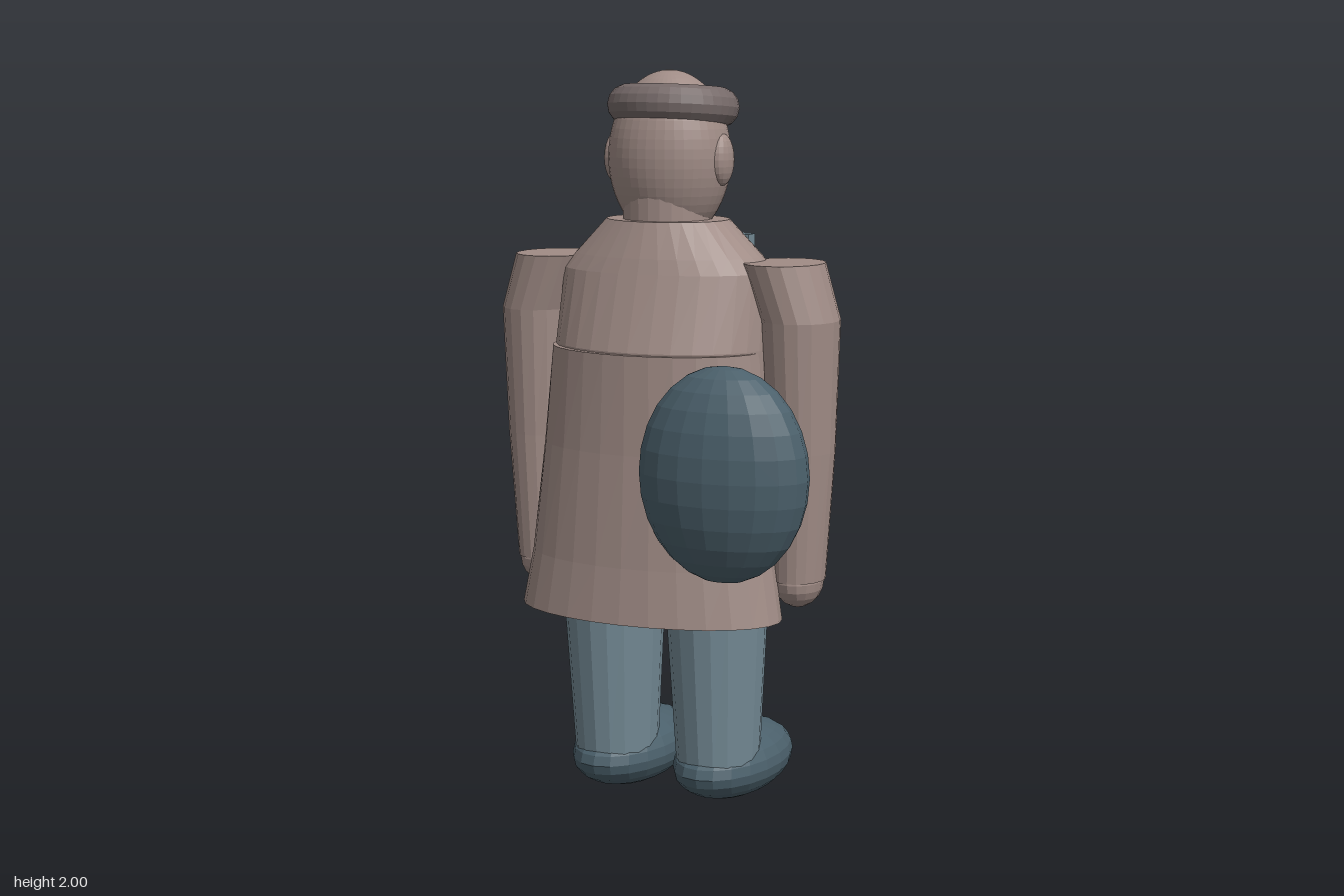
import * as THREE from 'three';

const material = (name, color) =>
  Object.assign(new THREE.MeshStandardMaterial({ color, flatShading: true }), { name });

// Closed solid through elliptical rings [y, centreX, centreZ, radiusX, radiusZ], lowest first
function loft(rings, sides) {
  const pos = [], idx = [];
  for (const [y, cx, cz, rx, rz] of rings) {
    for (let i = 0; i < sides; i++) {
      const a = (i / sides) * Math.PI * 2;
      pos.push(cx + rx * Math.sin(a), y, cz + rz * Math.cos(a));
    }
  }
  const last = rings.length - 1;
  for (let r = 0; r < last; r++) {
    for (let i = 0; i < sides; i++) {
      const j = (i + 1) % sides;
      const a = r * sides + i, b = r * sides + j, c = a + sides, d = b + sides;
      idx.push(a, b, d, a, d, c);
    }
  }
  for (let i = 1; i < sides - 1; i++) {
    idx.push(0, i + 1, i);
    idx.push(last * sides, last * sides + i, last * sides + i + 1);
  }
  const g = new THREE.BufferGeometry();
  g.setAttribute('position', new THREE.Float32BufferAttribute(pos, 3));
  g.setIndex(idx);
  g.computeVertexNormals();
  return g;
}

export function createModel() {
  const coat = material('coat and skin', 0xa08c86);
  const hatMat = material('cap', 0x766a69);
  const trousers = material('trousers', 0x748a95);
  const dark = material('boots and bag', 0x4b606b);
  const pale = material('pale plate', 0xa3b1bb);
  const slate = material('slate plate', 0x748a95);

  const model = new THREE.Group();
  model.name = 'figure';
  const body = new THREE.Group();
  body.name = 'body';
  body.position.x = -0.015;
  model.add(body);

  const add = (name, geometry, mat, parent = body) => {
    const mesh = new THREE.Mesh(geometry, mat);
    mesh.name = name;
    parent.add(mesh);
    return mesh;
  };
  const ellipsoid = (name, mat, [x, y, z], [rx, ry, rz], w = 20, h = 12, parent = body) => {
    const g = new THREE.SphereGeometry(1, w, h).scale(rx, ry, rz);
    const mesh = add(name, g, mat, parent);
    mesh.position.set(x, y, z);
    return mesh;
  };
  const box = (name, mat, x0, x1, y0, y1, z0, z1) => {
    const mesh = add(name, new THREE.BoxGeometry(x1 - x0, y1 - y0, z1 - z0), mat, model);
    mesh.position.set((x0 + x1) / 2, (y0 + y1) / 2, (z0 + z1) / 2);
  };

  // Coat: torso with sloping shoulders, and a flared skirt set towards +z
  add('torso', loft([
    [0.56, 0, 0.06, 0.28, 0.16],
    [0.7, 0, 0.03, 0.30, 0.18],
    [0.85, 0, 0.01, 0.30, 0.2],
    [1.27, 0, 0.008, 0.305, 0.226],
    [1.47, 0, -0.025, 0.30, 0.195],
    [1.51, 0, -0.025, 0.265, 0.183],
    [1.605, 0, -0.02, 0.17, 0.145],
  ], 32), coat);
  add('coatSkirt', loft([
    [0.55, 0, 0.09, 0.377, 0.2],
    [0.7, 0, 0.08, 0.35, 0.195],
    [1.0, 0, 0.062, 0.32, 0.195],
    [1.265, 0, 0.05, 0.298, 0.2],
  ], 28), coat);

  // Head, neck and features; the face looks along -z
  add('neck', loft([[1.55, 0, -0.018, 0.12, 0.122], [1.72, 0, -0.018, 0.12, 0.122]], 24), coat);
  ellipsoid('head', coat, [0, 1.77, -0.03], [0.168, 0.23, 0.15], 40, 28);
  ellipsoid('nose', coat, [0, 1.78, -0.197], [0.04, 0.066, 0.037], 16, 12);
  const hat = add('capBrim', new THREE.TorusGeometry(0.128, 0.052, 14, 36)
    .rotateX(Math.PI / 2).scale(1, 1.03, 0.94), hatMat);
  hat.position.set(0, 1.903, -0.053);
  hat.rotation.x = -0.09;

  // Mirrored parts
  for (const s of [1, -1]) {
    const side = s > 0 ? 'left' : 'right';
    ellipsoid(side + 'Eye', dark, [s * 0.062, 1.815, -0.178], [0.021, 0.021, 0.021], 12, 8);
    ellipsoid(side + 'Ear', coat, [s * 0.155, 1.765, -0.025], [0.03, 0.07, 0.05], 16, 12);
    add(side + 'Arm', loft([
      [0.65, s * 0.385, -0.028, 0.07, 0.086],
      [1.0, s * 0.392, -0.025, 0.088, 0.1],
      [1.35, s * 0.388, -0.022, 0.102, 0.122],
      [1.5, s * 0.338, -0.022, 0.108, 0.126],
    ], 18), coat);
    ellipsoid(side + 'Hand', coat, [s * 0.385, 0.645, -0.027], [0.065, 0.072, 0.083], 16, 10);
    add(side + 'Leg', loft([
      [0.12, s * 0.155, -0.015, 0.112, 0.13],
      [0.55, s * 0.155, -0.004, 0.135, 0.16],
      [0.83, s * 0.155, -0.01, 0.145, 0.185],
    ], 18), trousers);
    ellipsoid(side + 'Boot', dark, [s * 0.155, 0.1, -0.12], [0.145, 0.1, 0.256], 20, 12);
  }

  // Round bag carried on the +z side
  ellipsoid('bag', dark, [0.265, 0.968, 0.238], [0.235, 0.286, 0.14], 20, 14, model);

  // Chest plates
  box('widePlate', pale, -0.16, -0.035, 1.2, 1.55, -0.265, -0.222);
  box('longPlate', pale, 0.028, 0.1, 1.05, 1.55, -0.286, -0.238);
  box('slatePlate', slate, 0.03, 0.135, 1.2, 1.55, -0.263, -0.22);

  return model;
}
